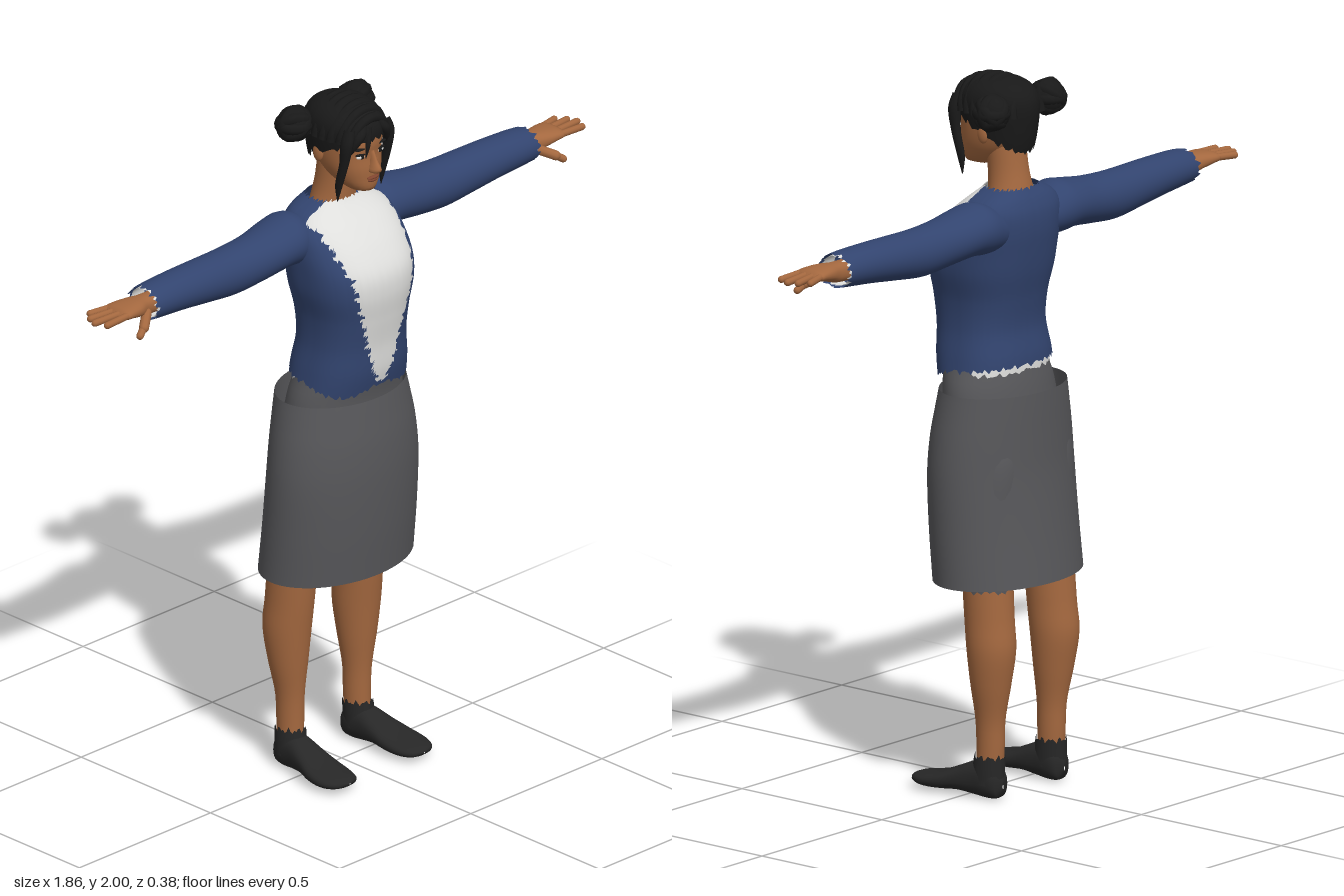
import * as THREE from 'three';

const material = (name, color, side = THREE.FrontSide) => {
  const m = new THREE.MeshStandardMaterial({ color, side });
  m.name = name;
  return m;
};

// Irregular zigzag used for frayed cloth edges and hair tips
const frac = (t) => t - Math.floor(t);
const jag = (t) => Math.abs(frac(t) - 0.5) + Math.abs(frac(t * 1.7 + 0.3) - 0.5) - 0.5;
const turn = (a, n) => jag((a / (2 * Math.PI)) * n);

// Smooth interpolation of a table of rows keyed by their first number
function sample(rows, s) {
  const last = rows.length - 1;
  s = Math.min(Math.max(s, rows[0][0]), rows[last][0]);
  let i = 0;
  while (i < last - 1 && s > rows[i + 1][0]) i++;
  const h = rows[i + 1][0] - rows[i][0], t = (s - rows[i][0]) / h;
  const slope = (k, c) => {
    const a = rows[Math.max(k - 1, 0)], b = rows[Math.min(k + 1, last)];
    return (b[c] - a[c]) / (b[0] - a[0]);
  };
  return rows[i].map((p, c) => {
    const q = rows[i + 1][c], t2 = t * t, t3 = t2 * t;
    return p * (2 * t3 - 3 * t2 + 1) + q * (3 * t2 - 2 * t3)
      + h * (slope(i, c) * (t3 - 2 * t2 + t) + slope(i + 1, c) * (t3 - t2));
  });
}

// Skin over rounded sections [position, centre, half width, front, back]
function loft(rows, { axis = 'y', seg = 28, steps = 24, lo, hi, pow = 1, pick } = {}) {
  const pos = [], faces = [[], []];
  const round = (v) => Math.sign(v) * Math.abs(v) ** pow;
  for (let i = 0; i <= steps; i++) for (let j = 0; j < seg; j++) {
    const a = (j / seg) * Math.PI * 2;
    const s0 = lo ? lo(a) : rows[0][0], s1 = hi ? hi(a) : rows[rows.length - 1][0];
    const s = s0 + ((s1 - s0) * i) / steps;
    const [, c, r, f, b] = sample(rows, s);
    const u = c + r * round(Math.cos(a)), w = (f + b) / 2 + ((f - b) / 2) * round(Math.sin(a));
    pos.push(...(axis === 'y' ? [u, s, w] : axis === 'x' ? [s, u, w] : [u, w, s]));
  }
  const tri = (a, b, c) => {
    const mid = [0, 1, 2].map((k) => (pos[a * 3 + k] + pos[b * 3 + k] + pos[c * 3 + k]) / 3);
    faces[pick ? pick(...mid) : 0].push(...(axis === 'y' ? [a, b, c] : [a, c, b]));
  };
  for (let i = 0; i < steps; i++) for (let j = 0; j < seg; j++) {
    const k = (j + 1) % seg, a = i * seg + j, b = i * seg + k;
    tri(a, a + seg, b);
    tri(b, a + seg, b + seg);
  }
  const g = new THREE.BufferGeometry();
  g.setAttribute('position', new THREE.Float32BufferAttribute(pos, 3));
  g.setIndex(faces.flat());
  if (pick) {
    g.addGroup(0, faces[0].length, 0);
    g.addGroup(faces[0].length, faces[1].length, 1);
  }
  g.computeVertexNormals();
  return g;
}

const ball = (x, y, z, rx, ry, rz) =>
  new THREE.SphereGeometry(1, 20, 14).scale(rx, ry, rz).translate(x, y, z);

// Capsule between two points
function rod(a, b, r) {
  const p = new THREE.Vector3(...a), q = new THREE.Vector3(...b), d = q.clone().sub(p);
  const turnTo = new THREE.Quaternion().setFromUnitVectors(new THREE.Vector3(0, 1, 0), d.clone().normalize());
  return new THREE.CapsuleGeometry(r, d.length(), 4, 10).applyQuaternion(turnTo)
    .translate((p.x + q.x) / 2, (p.y + q.y) / 2, (p.z + q.z) / 2);
}

function mirrored(geo) {
  const g = geo.clone().scale(-1, 1, 1), ix = g.index.array;
  for (let i = 0; i < ix.length; i += 3) [ix[i], ix[i + 1]] = [ix[i + 1], ix[i]];
  return g;
}

export function createModel() {
  const root = new THREE.Group();
  root.name = 'woman';
  const skin = material('skin', 0xa4683f), lip = material('lips', 0x80452f);
  const hair = material('black hair', 0x191919), shoe = material('dark shoes', 0x272727);
  const jacket = material('navy jacket', 0x32446f, THREE.DoubleSide);
  const shirt = material('white shirt', 0xdededc, THREE.DoubleSide);
  const grey = material('grey skirt', 0x57575a, THREE.DoubleSide);

  const add = (name, geo, mat) => {
    const m = new THREE.Mesh(geo, mat);
    m.name = name;
    root.add(m);
  };
  const pair = (name, geo, mat) => {
    add('left' + name, geo, mat);
    add('right' + name, mirrored(geo), mat);
  };

  // Torso: open jacket over a tapering shirt front
  const torso = [
    [1.12, 0, 0.178, 0.135, -0.108], [1.16, 0, 0.174, 0.147, -0.106], [1.22, 0, 0.165, 0.16, -0.104],
    [1.3, 0, 0.152, 0.166, -0.092], [1.38, 0, 0.154, 0.178, -0.1], [1.46, 0, 0.17, 0.188, -0.117],
    [1.52, 0, 0.174, 0.18, -0.126], [1.58, 0, 0.174, 0.142, -0.132], [1.63, 0, 0.166, 0.095, -0.129],
    [1.665, 0, 0.135, 0.055, -0.116], [1.69, 0, 0.085, 0.03, -0.1], [1.7, 0, 0.066, 0.026, -0.094],
  ];
  const panel = [[1.17, 0], [1.235, 0.038], [1.315, 0.06], [1.395, 0.085], [1.475, 0.105], [1.58, 0.128], [1.7, 0.15]];
  const hem = (a) => {
    const f = Math.sin(a);
    return (f > 0 ? 1.19 - 0.045 * f + 0.03 * f ** 12 : 1.19 - 0.01 * f) + 0.02 * turn(a, 30);
  };
  add('jacketAndShirt', loft(torso, {
    seg: 128, steps: 72, pow: 0.82, lo: hem, hi: (a) => 1.694 + 0.012 * turn(a, 30),
    pick: (x, y, z) => (z > 0.005 && y > 1.175 && Math.abs(x) < sample(panel, y)[1] + 0.022 * jag(y * 26) ? 1 : 0),
  }), [jacket, shirt]);
  add('shirtHem', loft(torso.map(([s, c, r, f, b]) => [s, c, r - 0.009, f - 0.012, b + 0.009]), {
    seg: 90, steps: 5, pow: 0.82, lo: (a) => 1.18 + 0.02 * turn(a, 20), hi: () => 1.24,
  }), shirt);

  // Sleeves, cuffs and hands
  const sleeve = [
    [0.1, 1.59, 0.06, 0.02, -0.115], [0.16, 1.601, 0.073, 0.04, -0.128], [0.21, 1.6, 0.068, 0.042, -0.126],
    [0.3, 1.588, 0.066, 0.036, -0.112], [0.4, 1.581, 0.067, 0.031, -0.106], [0.5, 1.586, 0.062, 0.03, -0.1],
    [0.6, 1.592, 0.056, 0.03, -0.094], [0.7, 1.595, 0.05, 0.03, -0.087], [0.75, 1.594, 0.044, 0.027, -0.082],
  ];
  pair('Sleeve', loft(sleeve, { axis: 'x', seg: 50, steps: 36, hi: (a) => 0.727 + 0.03 * turn(a, 10) }), jacket);
  pair('ShirtCuff', loft(sleeve.map(([s, c, r, f, b]) => [s, c, r - 0.006, f - 0.006, b + 0.006]), {
    axis: 'x', seg: 50, steps: 4, lo: () => 0.67, hi: (a) => 0.724 + 0.025 * turn(a, 20),
  }), shirt);
  pair('Hand', loft([
    [0.62, 1.59, 0.03, 0.005, -0.06], [0.73, 1.592, 0.028, 0.002, -0.058], [0.77, 1.598, 0.024, 0.016, -0.066],
    [0.81, 1.602, 0.018, 0.022, -0.072], [0.835, 1.602, 0.013, 0.02, -0.07], [0.845, 1.602, 0.002, 0, -0.05],
  ], { axis: 'x', pow: 0.85 }), skin);
  [[-0.06, -0.075, 0.885], [-0.037, -0.05, 0.908], [-0.013, -0.022, 0.919], [0.011, 0.012, 0.905]].forEach(([z0, z1, x], i) =>
    pair('Finger' + (i + 1), rod([0.825, 1.603, z0], [x, 1.6, z1], 0.0098), skin));
  pair('ThumbBase', rod([0.745, 1.582, 0.002], [0.785, 1.56, 0.032], 0.014), skin);
  pair('ThumbTip', rod([0.782, 1.562, 0.03], [0.807, 1.545, 0.039], 0.0105), skin);

  // Skirt shell with the fitted waist and thighs inside it
  add('skirt', loft([
    [0.6, 0, 0.247, 0.145, -0.19], [0.75, 0, 0.246, 0.158, -0.172], [0.9, 0, 0.243, 0.164, -0.158],
    [1, 0, 0.232, 0.16, -0.155], [1.08, 0, 0.216, 0.15, -0.154], [1.13, 0, 0.205, 0.143, -0.153],
  ], { seg: 64 }), grey);
  add('waist', loft([
    [0.86, 0, 0.02, 0.02, -0.05], [0.88, 0, 0.16, 0.1, -0.11], [0.98, 0, 0.2, 0.125, -0.125],
    [1.13, 0, 0.186, 0.132, -0.108], [1.2, 0, 0.163, 0.142, -0.093], [1.26, 0, 0.145, 0.14, -0.08],
  ], { seg: 40 }), grey);
  pair('Thigh', loft([
    [0.57, 0.128, 0.071, 0.014, -0.133], [0.65, 0.126, 0.077, 0.03, -0.133],
    [0.78, 0.117, 0.09, 0.065, -0.135], [0.95, 0.1, 0.098, 0.1, -0.138], [1.06, 0.09, 0.06, 0.08, -0.11],
  ], { seg: 40, lo: (a) => 0.59 + 0.02 * turn(a, 20) }), grey);

  // Lower legs and shoes
  pair('Leg', loft([
    [0.07, 0.128, 0.036, -0.03, -0.105], [0.14, 0.127, 0.037, -0.03, -0.109], [0.22, 0.128, 0.04, -0.028, -0.112],
    [0.32, 0.131, 0.056, -0.018, -0.13], [0.42, 0.132, 0.067, -0.008, -0.145], [0.5, 0.13, 0.067, 0.001, -0.138],
    [0.63, 0.127, 0.07, 0.012, -0.128],
  ]), skin);
  pair('Shoe', loft([
    [-0.115, 0.128, 0.002, 0.05, 0.03], [-0.108, 0.128, 0.026, 0.075, 0.008], [-0.08, 0.129, 0.039, 0.1, 0],
    [-0.03, 0.132, 0.043, 0.1, 0.004], [0.02, 0.137, 0.05, 0.08, 0.01], [0.07, 0.143, 0.059, 0.06, 0.008],
    [0.12, 0.146, 0.059, 0.048, 0.008], [0.155, 0.145, 0.047, 0.042, 0.013], [0.172, 0.143, 0.028, 0.036, 0.02],
    [0.177, 0.142, 0.002, 0.03, 0.026],
  ], { axis: 'z', pow: 0.85, steps: 36 }), shoe);
  pair('ShoeCollar', loft([
    [0.04, 0.13, 0.041, -0.012, -0.112], [0.09, 0.129, 0.041, -0.02, -0.112], [0.14, 0.127, 0.04, -0.026, -0.113],
  ], { seg: 50, steps: 6, hi: (a) => 0.118 + 0.025 * turn(a, 10) }), shoe);

  // Neck, head and face
  add('neck', loft([
    [1.63, 0, 0.085, 0.02, -0.1], [1.69, 0, 0.064, 0.027, -0.09], [1.74, 0, 0.056, 0.032, -0.08], [1.81, 0, 0.055, 0.04, -0.07],
  ]), skin);
  add('head', loft([
    [1.735, 0, 0.002, 0.092, 0.06], [1.74, 0, 0.026, 0.112, 0.035], [1.755, 0, 0.046, 0.12, 0.005],
    [1.78, 0, 0.064, 0.122, -0.035], [1.81, 0, 0.076, 0.123, -0.062], [1.85, 0, 0.083, 0.12, -0.08],
    [1.89, 0, 0.084, 0.124, -0.09], [1.93, 0, 0.078, 0.112, -0.085], [1.97, 0, 0.04, 0.06, -0.05],
  ], { pow: 0.92 }), skin);
  add('nose', loft([
    [1.798, 0, 0.004, 0.13, 0.11], [1.805, 0, 0.016, 0.148, 0.1], [1.815, 0, 0.014, 0.152, 0.1],
    [1.835, 0, 0.009, 0.139, 0.1], [1.865, 0, 0.007, 0.124, 0.1],
  ], { seg: 14, steps: 12 }), skin);
  add('upperLip', ball(0, 1.785, 0.122, 0.022, 0.005, 0.009), lip);
  add('lowerLip', ball(0, 1.777, 0.12, 0.018, 0.006, 0.009), lip);
  pair('Ear', ball(0.084, 1.845, -0.005, 0.01, 0.027, 0.018).rotateY(0), skin);
  pair('Eye', ball(0.035, 1.852, 0.11, 0.016, 0.0065, 0.007), shirt);
  pair('Iris', ball(0.034, 1.852, 0.113, 0.007, 0.0066, 0.006), hair);
  pair('UpperLashes', ball(0.036, 1.859, 0.111, 0.019, 0.003, 0.008), hair);
  pair('Brow', ball(0.037, 1.876, 0.112, 0.021, 0.004, 0.008).rotateZ(0), hair);

  // Hair: cap, combed rows, loose locks and two side buns
  add('hairCap', loft([
    [1.76, 0, 0.062, 0.05, -0.08], [1.8, 0, 0.08, 0.09, -0.096], [1.86, 0, 0.092, 0.122, -0.108],
    [1.92, 0, 0.097, 0.132, -0.112], [1.955, 0, 0.088, 0.115, -0.1], [1.98, 0, 0.062, 0.082, -0.07],
    [1.992, 0, 0.025, 0.04, -0.03], [1.994, 0, 0.001, 0.006, 0.004],
  ], {
    seg: 60, steps: 30,
    lo: (a) => 1.85 + (Math.sin(a) > 0 ? 0.05 : 0.06) * Math.sin(a) + 0.025 * turn(a, 20),
  }), hair);
  for (let i = 0; i < 8; i++) {
    const z = 0.1 - i * 0.027, k = Math.sqrt(1 - ((z - 0.008) / 0.128) ** 2);
    const arc = [...Array(13).keys()].map((n) => {
      const a = (n / 12) * Math.PI;
      return new THREE.Vector3(0.09 * k * Math.cos(a), 1.895 + 0.091 * k * Math.sin(a), z + 0.012 * Math.sin(a));
    });
    add('hairRow' + (i + 1), new THREE.TubeGeometry(new THREE.CatmullRomCurve3(arc), 24, 0.014, 8), hair);
  }
  pair('LongLock', loft([
    [1.72, 0.083, 0.001, 0.07, 0.067], [1.77, 0.083, 0.008, 0.086, 0.062], [1.84, 0.082, 0.011, 0.108, 0.078],
    [1.9, 0.078, 0.016, 0.12, 0.08], [1.94, 0.065, 0.014, 0.115, 0.08],
  ], { seg: 12 }), hair);
  pair('Fringe', loft([
    [1.865, 0.068, 0.001, 0.106, 0.102], [1.89, 0.06, 0.012, 0.122, 0.1], [1.92, 0.045, 0.018, 0.133, 0.1], [1.95, 0.028, 0.012, 0.122, 0.09],
  ], { seg: 12 }), hair);
  add('strayLock', loft([
    [1.85, -0.03, 0.001, 0.126, 0.123], [1.89, -0.024, 0.007, 0.134, 0.12], [1.94, -0.012, 0.01, 0.129, 0.1],
  ], { seg: 10 }), hair);
  pair('Bun', ball(0.115, 1.92, -0.065, 0.046, 0.05, 0.05), hair);
  for (let i = 0; i < 4; i++) {
    const coil = new THREE.TorusGeometry(0.036, 0.018, 8, 22).rotateX((i * Math.PI) / 4).rotateY(0.5 * i);
    pair('BunCoil' + (i + 1), coil.translate(0.118, 1.921, -0.065), hair);
  }
  return root;
}
